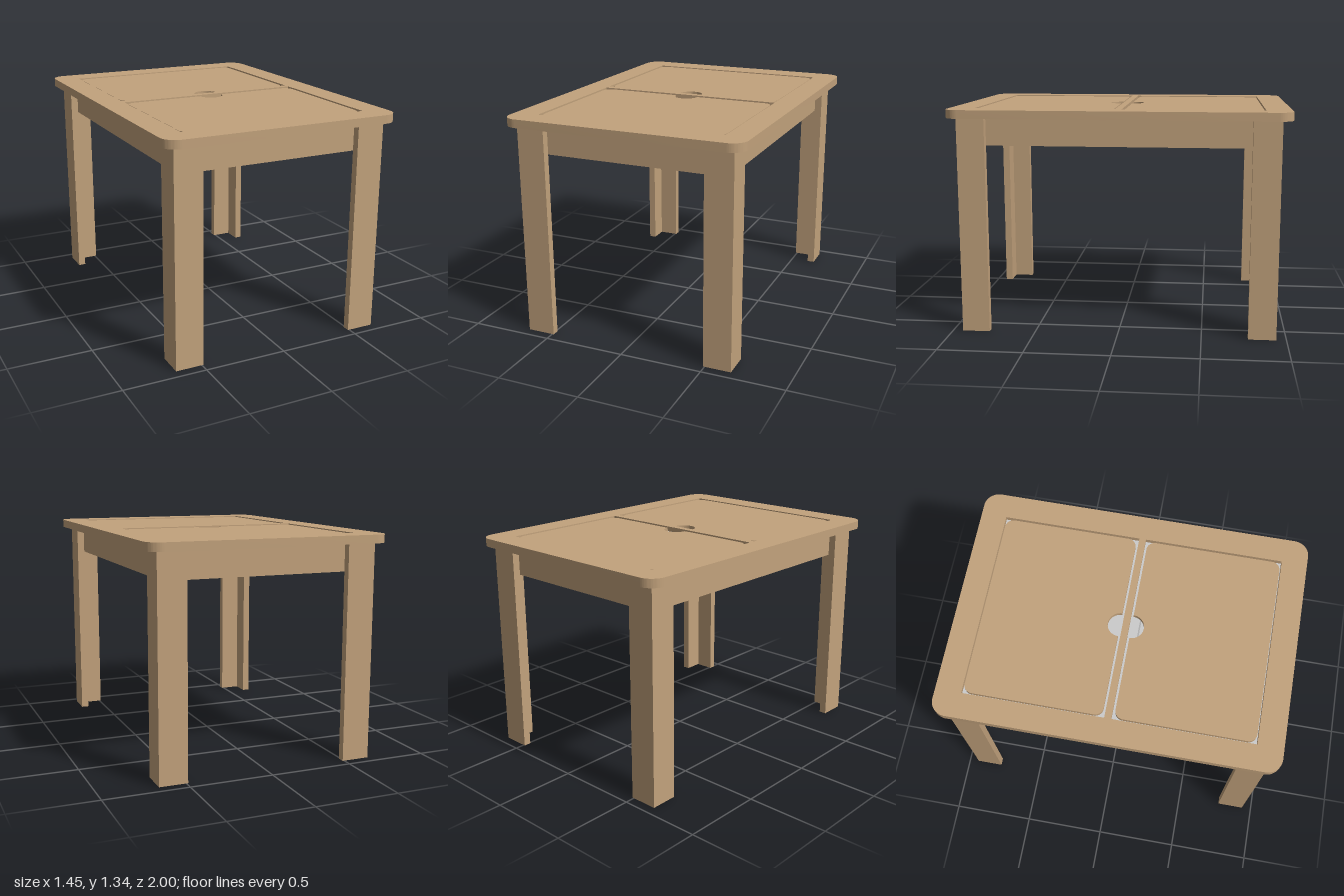
import * as THREE from 'three';
import { toCreasedNormals } from 'three/addons/utils/BufferGeometryUtils.js';

const wood = new THREE.MeshStandardMaterial({ color: 0xc2a27c });
const grey = new THREE.MeshStandardMaterial({ color: 0xcccccc });

// Plan-view shape (x, z) raised from y0 to y1
function slab(name, shape, y0, y1, material) {
  const flat = new THREE.ExtrudeGeometry(shape, { depth: y1 - y0, bevelEnabled: false, curveSegments: 12 });
  flat.rotateX(-Math.PI / 2).translate(0, y0, 0);
  const mesh = new THREE.Mesh(toCreasedNormals(flat, 0.6), material);
  mesh.name = name;
  return mesh;
}

function box(name, x0, x1, y0, y1, z0, z1) {
  const mesh = new THREE.Mesh(new THREE.BoxGeometry(x1 - x0, y1 - y0, z1 - z0), wood);
  mesh.position.set((x0 + x1) / 2, (y0 + y1) / 2, (z0 + z1) / 2);
  mesh.name = name;
  return mesh;
}

// Rectangle centred on x = 0, spanning a..b in depth
function rect(target, w, a, b) {
  target.moveTo(-w, a).lineTo(w, a).lineTo(w, b).lineTo(-w, b).closePath();
  return target;
}

// Rounded rectangle, with an optional half-round finger notch in its lower edge
function rounded(w, a, b, r, notch = 0) {
  const s = new THREE.Shape();
  s.moveTo(-w + r, a);
  if (notch) s.lineTo(-notch, a).absarc(0, a, notch, Math.PI, 0, true);
  s.lineTo(w - r, a).absarc(w - r, a + r, r, -Math.PI / 2, 0, false);
  s.lineTo(w, b - r).absarc(w - r, b - r, r, 0, Math.PI / 2, false);
  s.lineTo(-w + r, b).absarc(-w + r, b - r, r, Math.PI / 2, Math.PI, false);
  s.lineTo(-w, a + r).absarc(-w + r, a + r, r, Math.PI, Math.PI * 1.5, false);
  return s;
}

// Lid over a grey storage tray whose flange carries the lid
function compartment(name) {
  const g = new THREE.Group();
  g.name = name;
  g.add(slab('lid', rounded(0.565, 0.034, 0.842, 0.05, 0.073), 1.31, 1.335, wood));
  const flange = rect(new THREE.Shape(), 0.575, 0.02, 0.848);
  flange.holes.push(rect(new THREE.Path(), 0.52, 0.075, 0.795));
  g.add(slab('trayFlange', flange, 1.29, 1.31, grey));
  const walls = rect(new THREE.Shape(), 0.535, 0.06, 0.81);
  walls.holes.push(rect(new THREE.Path(), 0.52, 0.075, 0.795));
  g.add(slab('trayWalls', walls, 1.155, 1.29, grey));
  g.add(slab('trayBottom', rect(new THREE.Shape(), 0.535, 0.06, 0.81), 1.14, 1.155, grey));
  return g;
}

export function createModel() {
  const table = new THREE.Group();
  table.name = 'table';

  // Top with two rectangular openings
  const top = rounded(0.725, -1, 1, 0.09);
  top.holes.push(rect(new THREE.Path(), 0.575, 0.02, 0.848));
  top.holes.push(rect(new THREE.Path(), 0.575, -0.848, -0.02));
  table.add(slab('tabletop', top, 1.29, 1.34, wood));

  // Two compartments facing each other
  const back = compartment('backCompartment');
  const front = compartment('frontCompartment');
  front.rotation.y = Math.PI;
  table.add(back, front);

  // Angle-section legs
  const section = [[0.66, 0.94], [0.49, 0.94], [0.49, 0.895], [0.615, 0.895], [0.615, 0.775], [0.66, 0.775]];
  for (const sx of [-1, 1]) for (const sz of [-1, 1]) {
    const shape = new THREE.Shape(section.map(([x, z]) => new THREE.Vector2(x * sx, -z * sz)));
    table.add(slab((sz > 0 ? 'front' : 'back') + (sx > 0 ? 'Left' : 'Right') + 'Leg', shape, 0, 1.29, wood));
  }

  // Aprons set inside the legs
  table.add(
    box('leftApron', 0.57, 0.615, 1.125, 1.29, -0.895, 0.895),
    box('rightApron', -0.615, -0.57, 1.125, 1.29, -0.895, 0.895),
    box('frontApron', -0.57, 0.57, 1.125, 1.29, 0.85, 0.895),
    box('backApron', -0.57, 0.57, 1.125, 1.29, -0.895, -0.85),
  );
  return table;
}
